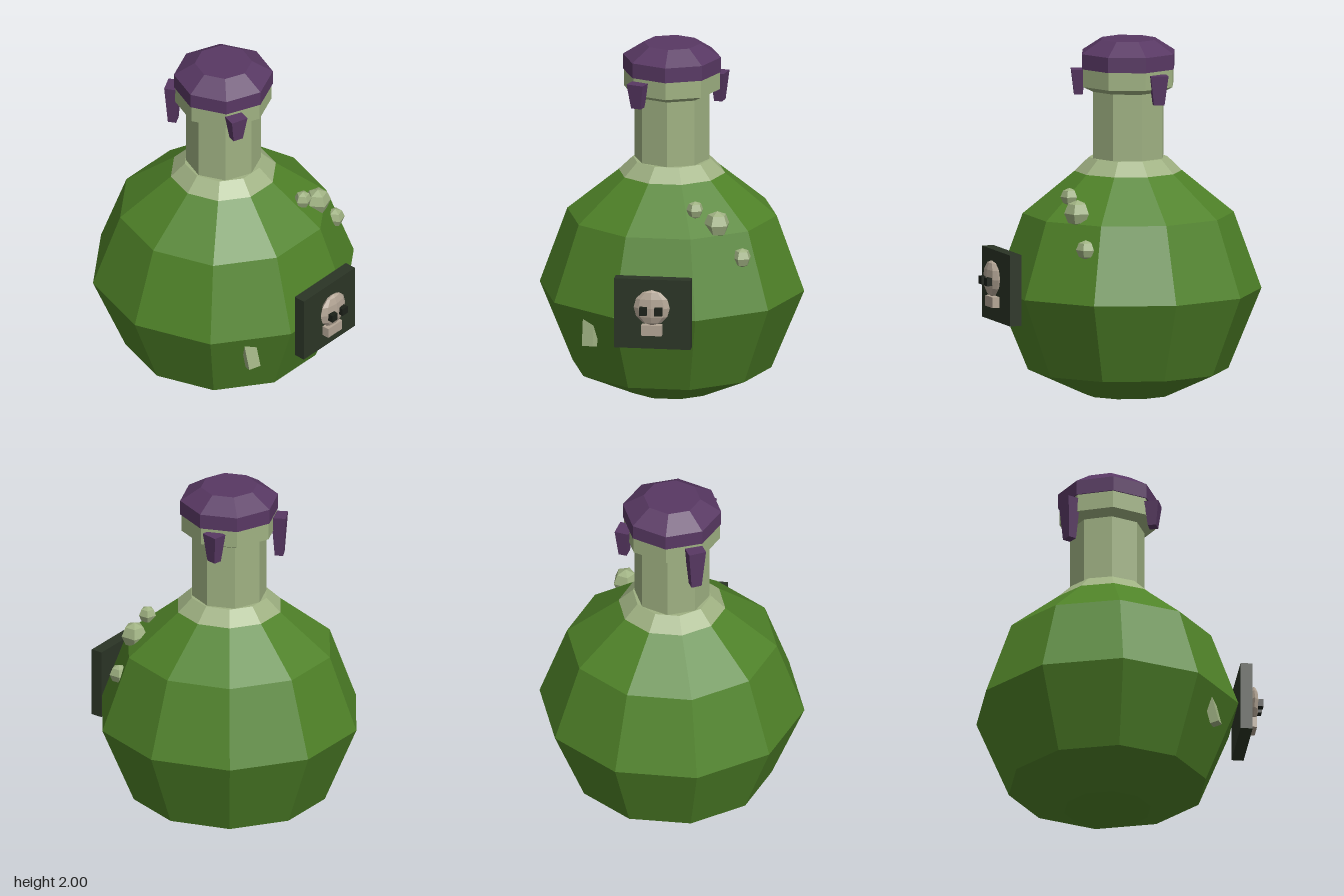
import * as THREE from 'three';

const mat = (color) => new THREE.MeshStandardMaterial({ color, flatShading: true });

export function createModel() {
  const root = new THREE.Group();
  const bottle = new THREE.Group();
  bottle.name = 'bottle';
  bottle.position.z = -0.08;
  root.add(bottle);

  const green = mat(0x4f8228);
  const glass = mat(0x9fb182);
  const purple = mat(0x583863);
  const dark = mat(0x2b3526);
  const bone = mat(0xb3a595);
  const black = mat(0x1c2119);

  const add = (parent, name, geometry, material, x = 0, y = 0, z = 0) => {
    const mesh = new THREE.Mesh(geometry, material);
    mesh.name = name;
    mesh.position.set(x, y, z);
    parent.add(mesh);
    return mesh;
  };
  const lathe = (points, sides, start = 0) =>
    new THREE.LatheGeometry(points.map((p) => new THREE.Vector2(...p)), sides, start);

  // Ten-sided belly and shoulder collar
  add(bottle, 'body', lathe([[0, 0], [0.245, 0], [0.56, 0.14], [0.745, 0.59],
    [0.59, 1.02], [0.3, 1.257]], 10, Math.PI / 2), green);
  add(bottle, 'collar', lathe([[0.3, 1.257], [0.22, 1.335], [0, 1.335]], 10, Math.PI / 2), glass);

  // Eight-sided neck with its rim, and the wax cap
  add(bottle, 'neck', lathe([[0.21, 1.3], [0.21, 1.71], [0.27, 1.74], [0.27, 1.845]], 8), glass);
  add(bottle, 'waxCap', lathe([[0, 1.84], [0.277, 1.84], [0.277, 1.925],
    [0.16, 2], [0, 2]], 8), purple);

  // Tapered wax drips: x, z, facing angle, length
  [[-0.16, 0.237, -0.32, 0.14], [-0.16, -0.232, -2.66, 0.24], [0.258, -0.082, 1.37, 0.165]]
    .forEach(([x, z, yaw, length]) => {
      const drip = new THREE.CylinderGeometry(0.0707, 0.042, length, 4, 1);
      drip.rotateY(Math.PI / 4);
      drip.scale(1, 1, 0.8);
      add(bottle, 'waxDrip', drip, purple, x, 1.82 - length / 2, z).rotation.y = yaw;
    });

  // Bubbles on the shoulder
  [[0.19, 1.155, 0.345, 0.05], [0.315, 1.078, 0.345, 0.075], [0.455, 0.89, 0.35, 0.055]]
    .forEach(([x, y, z, r]) => add(root, 'bubble', new THREE.SphereGeometry(r, 5, 4), glass, x, y, z));

  // Glint strip, mostly sunk into the belly
  const glint = add(root, 'glint', new THREE.BoxGeometry(0.07, 0.44, 0.05), glass, -0.385, 0.595, 0.43);
  glint.rotation.set(-0.23, -0.4, 0.09, 'YXZ');

  // Label plate with a skull
  const label = new THREE.Group();
  label.name = 'label';
  root.add(label);
  add(label, 'plate', new THREE.BoxGeometry(0.43, 0.4, 0.068), dark, 0, 0.645, 0.677);
  const head = add(label, 'skull', new THREE.SphereGeometry(0.102, 8, 6), bone, 0, 0.69, 0.737);
  head.scale.z = 0.32;
  add(label, 'jaw', new THREE.BoxGeometry(0.115, 0.06, 0.045), bone, 0, 0.56, 0.732);
  for (const side of [-1, 1]) {
    add(label, 'eye', new THREE.BoxGeometry(0.043, 0.045, 0.045), black, side * 0.043, 0.678, 0.768);
  }
  return root;
}
